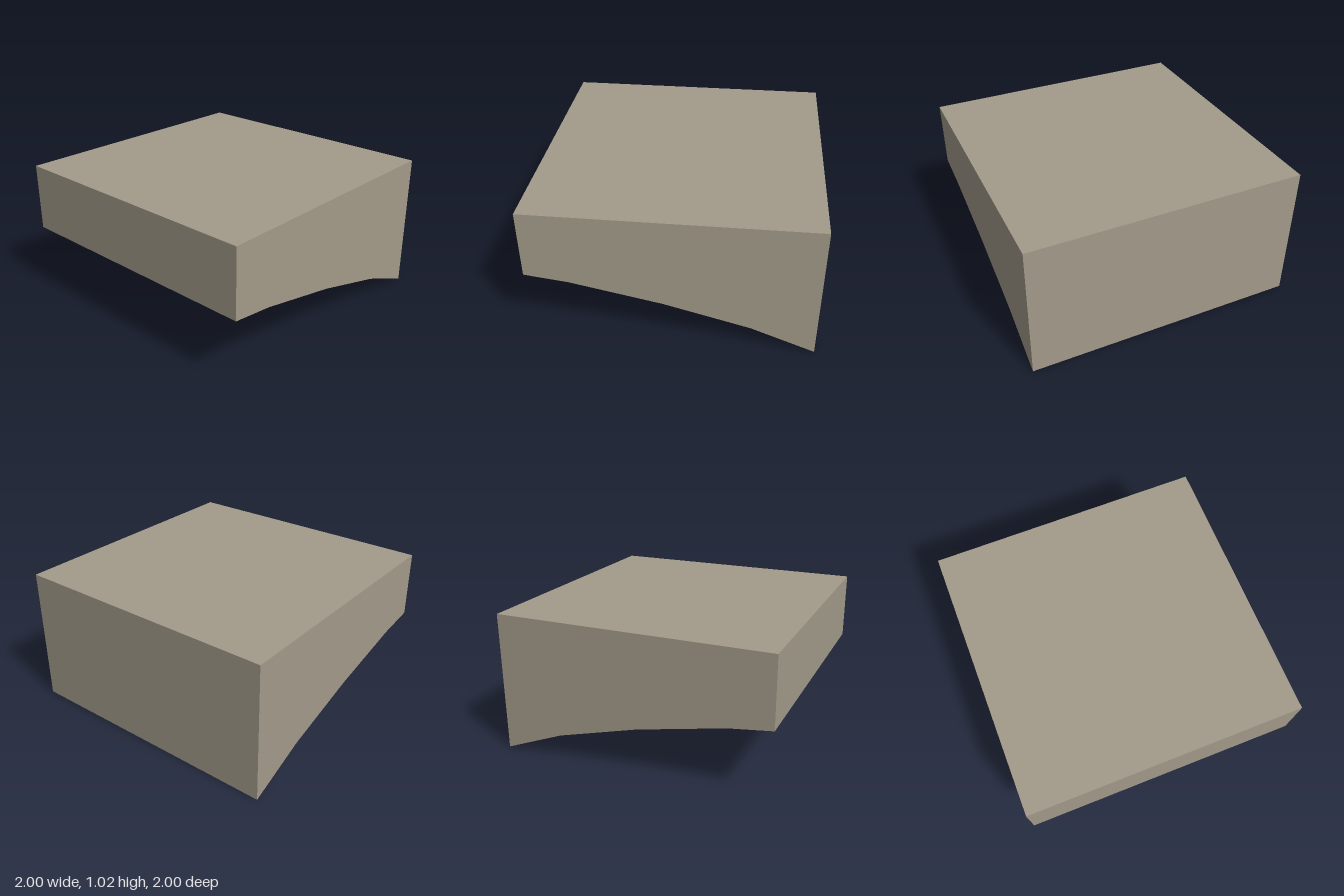
import * as THREE from 'three';
import { toCreasedNormals } from 'three/addons/utils/BufferGeometryUtils.js';

const WIDTH = 2;
const TOP = 1.02;

// Curved underside, front to back, as [z, y]
const UNDERSIDE = [[1, 0.52], [0.69, 0.48], [0.05, 0.345], [-0.55, 0.18], [-1, 0]];

export function createModel() {
  const model = new THREE.Group();
  model.name = 'archSegment';

  const stone = new THREE.MeshStandardMaterial({ color: 0xa39b8a });
  stone.name = 'warm grey stone';

  // Side profile: flat top, upright ends, curved underside
  const profile = new THREE.Shape(
    [[-1, TOP], ...[...UNDERSIDE].reverse(), [1, TOP]].map(([z, y]) => new THREE.Vector2(z, y))
  );

  // Extrude across the width, then turn the profile to run along z
  const geometry = new THREE.ExtrudeGeometry(profile, { depth: WIDTH, bevelEnabled: false });
  geometry.translate(0, 0, -WIDTH / 2);
  geometry.rotateY(-Math.PI / 2);

  // Smooth underside with sharp block edges
  const block = new THREE.Mesh(toCreasedNormals(geometry, Math.PI / 6), stone);
  block.name = 'stoneBlock';
  model.add(block);

  return model;
}
